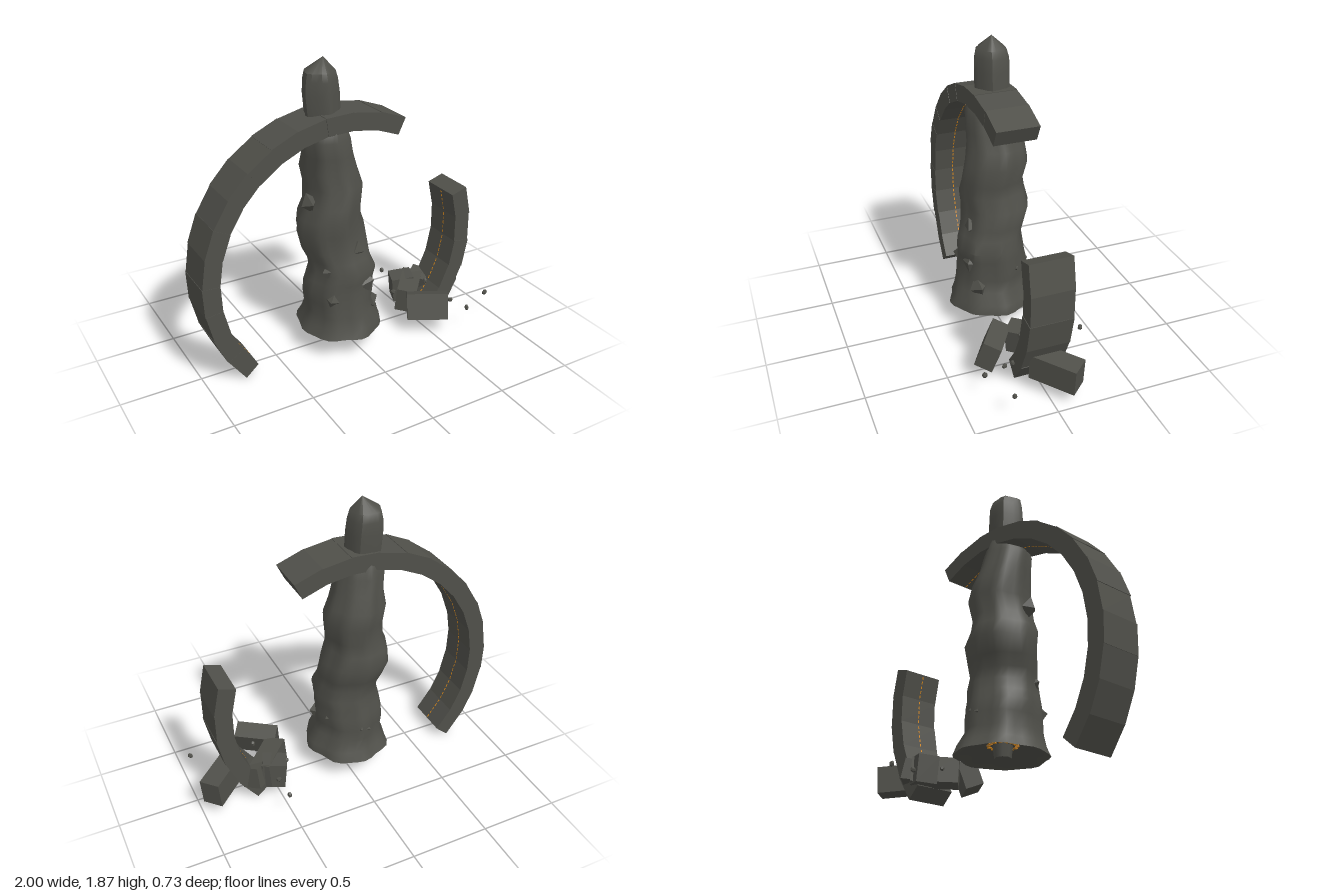
import * as THREE from 'three';
import { toCreasedNormals } from 'three/addons/utils/BufferGeometryUtils.js';

const stone = new THREE.MeshStandardMaterial({ color: 0x50504a, side: THREE.DoubleSide });
stone.name = 'dark stone';
const ember = new THREE.MeshStandardMaterial({ color: 0xd98a1e });
ember.name = 'ember orange';

const CX = -0.06, CY = 0.625, R_OUT = 0.94, R_IN = 0.828;

function add(parent, name, geometry, material, pos = [0, 0, 0], rot = [0, 0, 0]) {
  const mesh = new THREE.Mesh(geometry, material);
  mesh.name = name;
  mesh.position.set(...pos);
  mesh.rotation.set(...rot, 'YXZ');
  parent.add(mesh);
  return mesh;
}

// Loft through rows of [y, xMin, xMax, zMin, zMax], with folds given by a function
function loft(rows, sides, fold, crease) {
  const pos = [], idx = [];
  rows.forEach(([y, x0, x1, z0, z1], j) => {
    for (let i = 0; i < sides; i++) {
      const a = (i / sides) * Math.PI * 2, k = fold(a, y, j);
      pos.push((x0 + x1) / 2 + Math.cos(a) * k * (x1 - x0) / 2, y,
        (z0 + z1) / 2 + Math.sin(a) * k * (z1 - z0) / 2);
      if (j) {
        const n = (i + 1) % sides, b = (j - 1) * sides, t = j * sides;
        idx.push(b + i, t + i, b + n, b + n, t + i, t + n);
      }
    }
  });
  const g = new THREE.BufferGeometry();
  g.setAttribute('position', new THREE.Float32BufferAttribute(pos, 3));
  g.setIndex(idx);
  return toCreasedNormals(g, crease);
}

// Broken arc made of slightly uneven wedge blocks, with an ember seam along the inside
function arc(name, from, to, count) {
  const group = new THREE.Group();
  group.name = name;
  const step = (to - from) / count;
  for (let i = 0; i < count; i++) {
    const a = THREE.MathUtils.degToRad(from + i * step);
    const b = THREE.MathUtils.degToRad(from + (i + 1) * step);
    const p = (r, t) => new THREE.Vector2(Math.cos(t) * r, Math.sin(t) * r);
    const outer = R_OUT - (i % 2) * 0.003;
    const shape = new THREE.Shape([p(R_IN, a), p(outer, a), p(outer, b), p(R_IN, b)]);
    const depth = 0.264 + (i % 3) * 0.002;
    add(group, 'ringBlock', new THREE.ExtrudeGeometry(shape, { depth, bevelEnabled: false }),
      stone, [CX, CY, -0.135]);
    const m = (a + b) / 2, r = R_IN * Math.cos((b - a) / 2);
    for (let k = -2; k <= 2; k++) {
      const s = k * 0.032;
      add(group, 'emberSeam', new THREE.BoxGeometry(0.002, 0.019, 0.007), ember,
        [CX + Math.cos(m) * r - Math.sin(m) * s, CY + Math.sin(m) * r + Math.cos(m) * s, 0], [0, 0, m]);
    }
  }
  return group;
}

export function createModel() {
  const root = new THREE.Group();
  root.name = 'ruinedRingAndCloakedStatue';

  root.add(arc('largeArc', 64.5, 221.7, 14), arc('smallArc', -41.7, 18, 5));

  // Cloaked figure, from hollow underside up to the neck
  const statue = new THREE.Group();
  statue.name = 'statue';
  root.add(statue);
  const cloak = [
    [0.20, -0.07, -0.05, -0.01, 0.01],
    [0.20, -0.19, 0.07, -0.13, 0.13],
    [0.14, -0.32, 0.22, -0.28, 0.30],
    [0.20, -0.29, 0.21, -0.25, 0.28],
    [0.27, -0.27, 0.16, -0.22, 0.26],
    [0.35, -0.275, 0.15, -0.23, 0.25],
    [0.43, -0.28, 0.165, -0.21, 0.24],
    [0.49, -0.265, 0.155, -0.20, 0.24],
    [0.56, -0.25, 0.17, -0.185, 0.245],
    [0.63, -0.26, 0.14, -0.18, 0.22],
    [0.70, -0.29, 0.14, -0.20, 0.20],
    [0.81, -0.31, 0.13, -0.24, 0.19],
    [0.90, -0.30, 0.09, -0.22, 0.20],
    [0.98, -0.265, 0.09, -0.20, 0.19],
    [1.10, -0.25, 0.11, -0.225, 0.18],
    [1.20, -0.27, 0.08, -0.215, 0.155],
    [1.30, -0.26, 0.04, -0.18, 0.155],
    [1.40, -0.275, 0.02, -0.16, 0.15],
    [1.47, -0.255, -0.01, -0.14, 0.13],
    [1.53, -0.22, -0.05, -0.11, 0.07],
  ];
  const fold = (a, y, j) => j < 2 ? 1
    : 0.975 + 0.02 * Math.sin(5 * a + y * 7) + 0.03 * Math.cos(8 * a + 0.5 * Math.sin(y * 6));
  add(statue, 'cloak', loft(cloak, 32, fold, 0.8), stone);

  // Pointed hood
  const hood = [
    [1.42, -0.24, -0.02, -0.12, 0.08],
    [1.55, -0.25, -0.03, -0.13, 0.08],
    [1.66, -0.26, -0.035, -0.13, 0.078],
    [1.74, -0.255, -0.045, -0.13, 0.075],
    [1.79, -0.245, -0.06, -0.115, 0.065],
    [1.87, -0.131, -0.129, -0.021, -0.019],
  ];
  add(statue, 'hood', loft(hood, 20, (a) => 0.97 + 0.07 * Math.cos(5 * a - 1.75), 0.7), stone);

  // Stone plug and glowing flat band in the hollow below the figure
  add(statue, 'basePlug', new THREE.CylinderGeometry(0.06, 0.05, 0.08, 8), stone, [-0.07, 0.165, 0]);
  for (let i = 0; i < 14; i++) {
    const a = (i / 14) * Math.PI * 2;
    add(statue, 'baseEmber', new THREE.BoxGeometry(0.024, 0.006, 0.02), ember,
      [-0.07 + Math.cos(a) * 0.082, 0.198, Math.sin(a) * 0.082], [0, -a, 0]);
  }

  // Splinters half sunk in the cloak: x, y, z, size
  const shards = [
    [-0.265, 1.02, 0.04, 0.06], [-0.01, 0.70, 0.16, 0.055], [0.07, 0.55, 0.14, 0.06],
    [0.04, 0.47, 0.18, 0.07], [0.09, 0.31, 0.15, 0.07], [-0.18, 0.40, 0.17, 0.07],
    [-0.20, 0.58, 0.14, 0.04], [-0.07, 0.36, -0.19, 0.06], [0.10, 0.42, -0.08, 0.05],
  ];
  shards.forEach(([x, y, z, s], i) => {
    const g = new THREE.OctahedronGeometry(s).scale(0.9, 1.2, 0.9);
    add(statue, 'shard', g, stone, [x, y, z], [0.3 * Math.sin(i), i * 0.8, 0.3 * Math.cos(i)]);
  });

  // Fallen ring blocks: position, size, rotation
  const rubble = new THREE.Group();
  rubble.name = 'rubble';
  root.add(rubble);
  [
    [[0.505, 0.17, 0.215], [0.265, 0.17, 0.115], [-0.35, -0.58, 0.04]],
    [[0.52, 0.16, -0.03], [0.29, 0.16, 0.13], [0.1, 0.85, 0.04]],
    [[0.52, 0.16, -0.115], [0.15, 0.17, 0.13], [0.05, -0.35, 0.1]],
    [[0.64, 0.17, -0.1], [0.13, 0.14, 0.12], [0.2, 0.75, 0.15]],
    [[0.84, 0.17, -0.055], [0.29, 0.17, 0.13], [0.05, 0.72, -0.06]],
  ].forEach(([p, s, r]) => add(rubble, 'fallenBlock', new THREE.BoxGeometry(...s), stone, p, r));

  // Pebbles around the rubble
  [
    [0.515, 0.155, -0.36], [0.52, 0.15, -0.2], [0.415, 0.16, -0.06], [0.585, 0.26, 0.07],
    [0.69, 0.16, 0.16], [0.695, 0.155, 0.21], [0.73, 0.155, 0.345], [0.955, 0.155, 0.25],
  ].forEach((p, i) => {
    const g = new THREE.DodecahedronGeometry(0.018).scale(0.8, 1.1, 0.9);
    add(rubble, 'pebble', g, stone, p, [i, i * 2, 0]);
  });

  return root;
}
